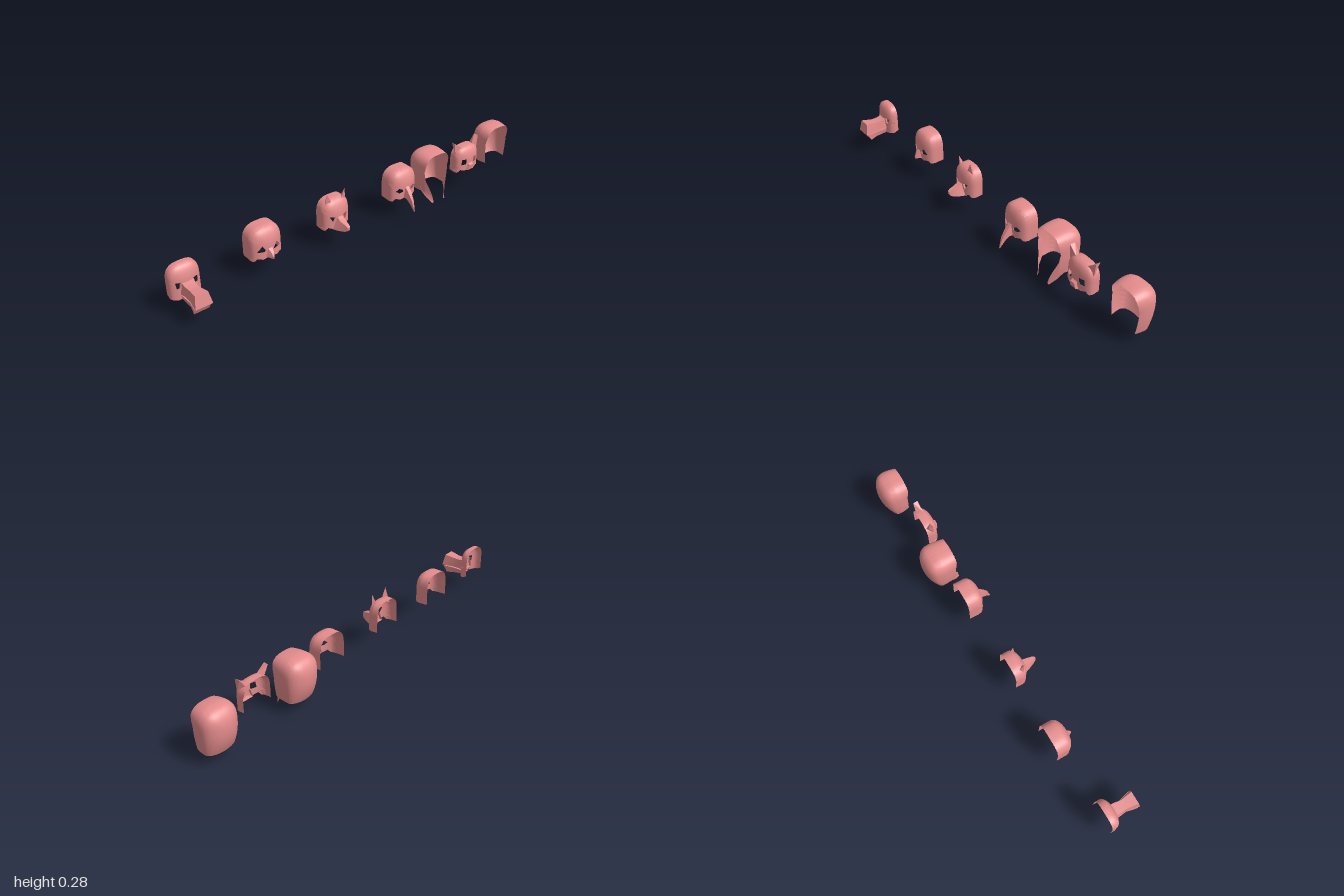
import * as THREE from 'three';
import { mergeVertices, toCreasedNormals } from 'three/addons/utils/BufferGeometryUtils.js';
import { ConvexGeometry } from 'three/addons/geometries/ConvexGeometry.js';

const material = new THREE.MeshStandardMaterial({ color: 0xe58c8c, roughness: 0.8, side: THREE.DoubleSide });

function part(parent, name, geometry) {
  const mesh = new THREE.Mesh(geometry, material);
  mesh.name = name;
  parent.add(mesh);
  return mesh;
}

// Split every triangle into four, so a flat shape can be bent
function subdivide(geometry, times) {
  let tris = Array.from((geometry.index ? geometry.toNonIndexed() : geometry).attributes.position.array);
  for (let n = 0; n < times; n++) {
    const out = [];
    for (let i = 0; i < tris.length; i += 9) {
      const [a, b, c] = [0, 3, 6].map(k => tris.slice(i + k, i + k + 3));
      const mid = (p, q) => p.map((v, k) => (v + q[k]) / 2);
      const ab = mid(a, b), bc = mid(b, c), ca = mid(c, a);
      out.push(...a, ...ab, ...ca, ...ab, ...b, ...bc, ...ca, ...bc, ...c, ...ab, ...bc, ...ca);
    }
    tris = out;
  }
  const result = new THREE.BufferGeometry();
  result.setAttribute('position', new THREE.Float32BufferAttribute(tris, 3));
  return mergeVertices(result, 1e-5);
}

// Domed shell, open at its back and bottom. The flat pattern covers the front
// up to radius 1; the band from 1 to 1.5 folds back into the walls and top.
function shell(o) {
  const { w, h, y0, front, shoulder, back, lip = 0, rim = 0, taper = 0, tuck = 0, power = 2 } = o;
  const arch = 3;
  const toB = y => (y - y0) / h;
  const shape = new THREE.Shape();
  for (let i = 0; i <= 16; i++) {
    const t = Math.PI * i / 16, c = Math.cos(t), s = Math.sin(t);
    const r = 1.5 / Math.pow(Math.abs(c) ** arch + s ** arch, 1 / arch);
    i ? shape.lineTo(r * c, r * s) : shape.moveTo(r * c, 0);
  }
  const half = o.bottom;
  half.forEach(([x, y]) => shape.lineTo(-x, toB(y)));
  [...half].reverse().forEach(([x, y]) => { if (x > 0) shape.lineTo(x, toB(y)); });
  for (const side of [-1, 1]) {
    if (!o.eye) break;
    shape.holes.push(new THREE.Path(o.eye.map(([x, y]) => new THREE.Vector2(side * x / w, toB(y)))));
  }
  const geometry = subdivide(new THREE.ShapeGeometry(shape), o.detail ?? 4);
  const p = geometry.attributes.position;
  for (let i = 0; i < p.count; i++) {
    const a = p.getX(i), b = p.getY(i), up = Math.max(b, 0);
    const r = Math.pow(Math.abs(a) ** arch + up ** arch, 1 / arch);
    const wall = Math.max(0, (r - 1) / 0.5);
    const k = r > 1 ? (1 - rim * wall * wall) / r : 1;
    const low = Math.min(b, 0) ** 2;
    let z = shoulder + (back - lip * Math.min(up, 1) - shoulder) * wall;
    if (r < 1) z += (front - shoulder - tuck * low) * Math.pow(1 - r ** power, 1 / power);
    p.setXYZ(i, w * a * k * (1 - taper * low), y0 + h * (b > 0 ? b * k : b), z);
  }
  geometry.computeVertexNormals();
  return geometry;
}

// Four-sided loft; each section is [zTop, yTop, halfTop, zBottom, yBottom, halfBottom]
function loft(sections) {
  const pos = [], idx = [];
  for (const [zt, yt, wt, zb, yb, wb] of sections) pos.push(-wt, yt, zt, -wb, yb, zb, wb, yb, zb, wt, yt, zt);
  for (let s = 0; s < sections.length - 1; s++) for (let i = 0; i < 4; i++) {
    const a = s * 4 + i, b = s * 4 + (i + 1) % 4;
    idx.push(a, b, a + 4, b, b + 4, a + 4);
  }
  const e = (sections.length - 1) * 4;
  idx.push(e, e + 1, e + 2, e, e + 2, e + 3);
  const g = new THREE.BufferGeometry();
  g.setAttribute('position', new THREE.Float32BufferAttribute(pos, 3));
  g.setIndex(idx);
  return toCreasedNormals(g, 0.6);
}

function ears(parent, points) {
  for (const s of [-1, 1]) {
    part(parent, s > 0 ? 'leftEar' : 'rightEar',
      new ConvexGeometry(points.map(([x, y, z]) => new THREE.Vector3(s * x, y, z))));
  }
}

const jagged = [[1.5, 0.105], [0.9, 0.1], [0.75, 0.115], [0.45, 0.108], [0, 0.12]];
const maskBase = { w: 0.0775, h: 0.085, y0: 0.165, front: 0.03, shoulder: -0.015, back: -0.065, bottom: jagged };
const hoodBase = {
  w: 0.085, h: 0.088, y0: 0.17, front: 0.145, shoulder: 0.08, back: 0.03, lip: 0.013, rim: 0.1,
  taper: 0.08, tuck: 0.018, power: 2.2, detail: 5, bottom: [[1.5, 0.06], [1, 0.06], [0, 0.053]],
};

export function createModel() {
  const model = new THREE.Group();
  model.name = 'maskCollection';
  const place = (name, x) => {
    const g = new THREE.Group();
    g.name = name;
    g.position.x = x;
    model.add(g);
    return g;
  };

  // Duck mask with a flared bill
  const duck = place('duckMask', -0.93);
  part(duck, 'duckFace', shell({
    ...maskBase, w: 0.07, h: 0.077, y0: 0.16, front: 0.025, shoulder: -0.01, back: -0.03,
    bottom: [[1.5, 0.1], [0.95, 0.088], [0.6, 0.085], [0, 0.1]],
    eye: [[0.028, 0.168], [0.05, 0.168], [0.046, 0.14], [0.034, 0.143]],
  }));
  part(duck, 'upperBill', loft([
    [0.01, 0.168, 0.026, 0.01, 0.11, 0.036], [0.045, 0.156, 0.024, 0.045, 0.11, 0.028],
    [0.08, 0.156, 0.022, 0.085, 0.108, 0.028], [0.133, 0.163, 0.029, 0.143, 0.106, 0.04],
  ]));
  part(duck, 'lowerBill', loft([
    [0.01, 0.108, 0.035, 0.02, 0.084, 0.028], [0.08, 0.102, 0.028, 0.075, 0.075, 0.024],
    [0.134, 0.104, 0.04, 0.115, 0.069, 0.034],
  ]));

  // Owl mask with a short beak
  const owl = place('owlMask', -0.54);
  part(owl, 'owlFace', shell({ ...maskBase, eye: [[0.016, 0.145], [0.058, 0.147], [0.036, 0.175]] }));
  part(owl, 'shortBeak', loft([
    [0.02, 0.165, 0.012, 0.02, 0.12, 0.028], [0.044, 0.145, 0.007, 0.04, 0.116, 0.012],
    [0.056, 0.122, 0.002, 0.053, 0.112, 0.002],
  ]));

  // Fox mask with pointed ears and snout
  const fox = place('foxMask', -0.165);
  part(fox, 'foxFace', shell({
    ...maskBase, w: 0.073, h: 0.08, front: 0.028, back: -0.05,
    eye: [[0.02, 0.166], [0.048, 0.17], [0.032, 0.138]],
  }));
  part(fox, 'snout', loft([
    [0.015, 0.17, 0.013, 0.01, 0.106, 0.04], [0.05, 0.15, 0.014, 0.045, 0.106, 0.028],
    [0.082, 0.142, 0.009, 0.08, 0.111, 0.014], [0.094, 0.135, 0.006, 0.091, 0.118, 0.008],
  ]));
  ears(fox, [[0.02, 0.215, 0.005], [0.06, 0.21, -0.006], [0.042, 0.215, -0.03], [0.048, 0.28, 0.002]]);

  // Bird mask with a long drooping beak
  const bird = place('birdMask', 0.238);
  part(bird, 'birdFace', shell({
    ...maskBase, eye: [[0.02, 0.148], [0.042, 0.143], [0.058, 0.154], [0.042, 0.167], [0.026, 0.16]],
  }));
  part(bird, 'longBeak', loft([
    [0.022, 0.178, 0.01, 0.018, 0.115, 0.022], [0.052, 0.142, 0.009, 0.042, 0.112, 0.014],
    [0.073, 0.108, 0.006, 0.063, 0.09, 0.009], [0.086, 0.06, 0.002, 0.085, 0.054, 0.002],
  ]));

  // Hood with two long cheek flaps
  const flapHood = place('flapHood', 0.465);
  part(flapHood, 'hoodShell', shell({ ...hoodBase, back: 0.01, lip: 0.012 })).rotation.y = Math.PI;
  const frontEdge = [[0.073, 0.16, -0.012], [0.066, 0.12, -0.01], [0.052, 0.075, 0.006], [0.041, 0.04, 0.014], [0.032, 0.002, 0.018]];
  const backEdge = [[0.082, 0.16, -0.04], [0.08, 0.12, -0.036], [0.073, 0.06, -0.034], [0.061, 0.03, -0.009], [0.042, 0, 0.017]];
  for (const s of [-1, 1]) {
    const pos = [], idx = [];
    frontEdge.forEach((f, i) => {
      for (const [x, y, z] of [f, backEdge[i]]) pos.push(s * x, y, z);
      if (i) {
        const a = 2 * i - 2;
        idx.push(...(s < 0 ? [a, a + 1, a + 2, a + 1, a + 3, a + 2] : [a, a + 2, a + 1, a + 1, a + 2, a + 3]));
      }
    });
    const g = new THREE.BufferGeometry();
    g.setAttribute('position', new THREE.Float32BufferAttribute(pos, 3));
    g.setIndex(idx);
    g.computeVertexNormals();
    part(flapHood, s > 0 ? 'leftFlap' : 'rightFlap', g);
  }

  // Cat mask with wide ears and a small muzzle
  const cat = place('catMask', 0.672);
  part(cat, 'catFace', shell({
    ...maskBase, w: 0.075, h: 0.07, y0: 0.16, front: 0.022, back: -0.045,
    eye: [[0.024, 0.17], [0.048, 0.17], [0.052, 0.142], [0.024, 0.142]],
  }));
  part(cat, 'muzzle', loft([
    [0.012, 0.15, 0.014, 0.012, 0.108, 0.03], [0.034, 0.138, 0.012, 0.03, 0.112, 0.018],
  ]));
  ears(cat, [[0.036, 0.225, -0.01], [0.074, 0.195, -0.012], [0.05, 0.218, -0.04], [0.08, 0.26, -0.012], [0.078, 0.26, -0.036]]);

  // Plain hood
  const hood = place('plainHood', 0.915);
  part(hood, 'hoodShell', shell(hoodBase)).rotation.y = Math.PI;

  return model;
}
